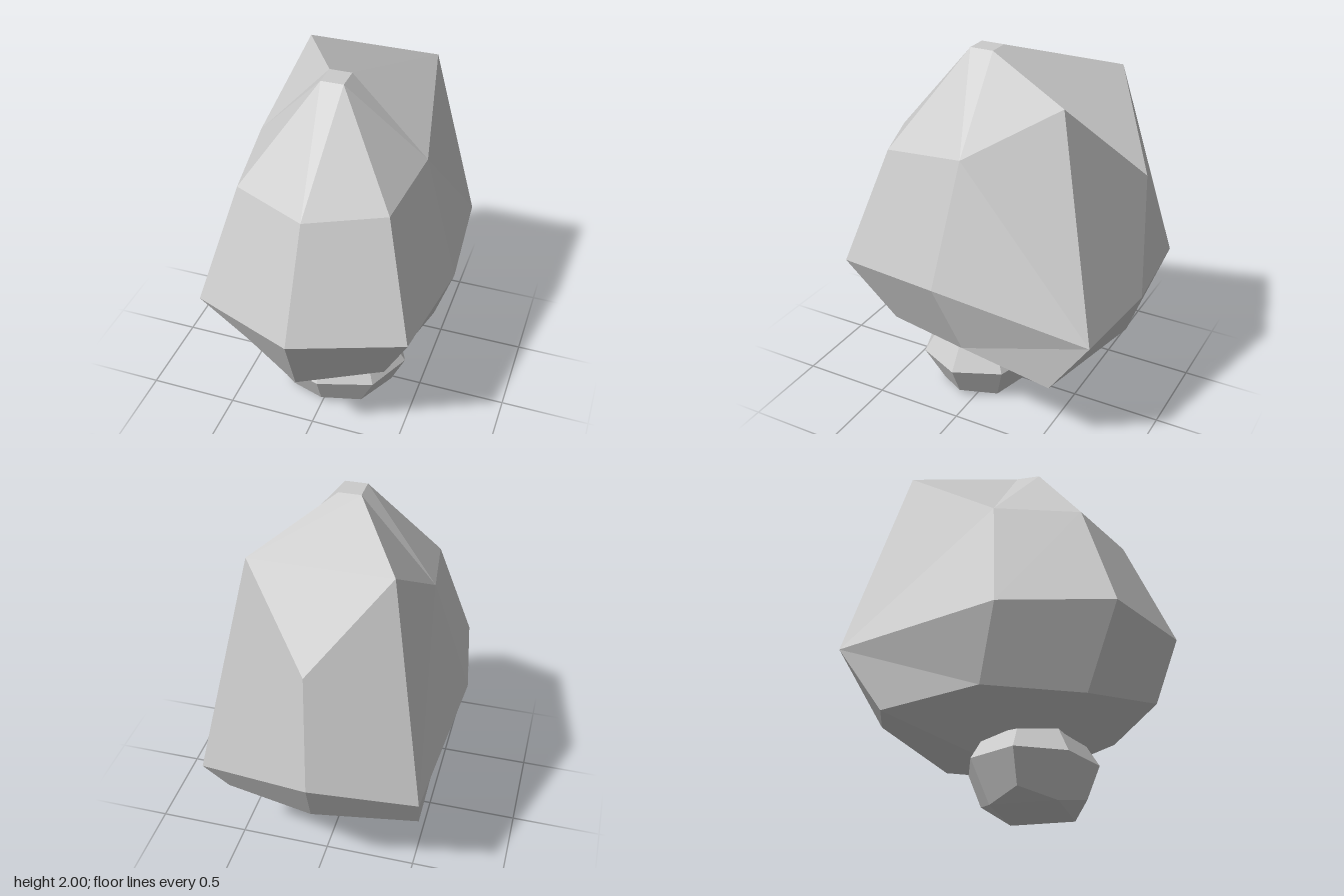
import * as THREE from 'three';

const flip = ([x, y, z]) => [-x, y, z];
const mirrored = (face) => face.map(flip).reverse();

// Full eight-point ring from its half: front, front side, side, back side, back
const ring = (half) => [...half, ...half.slice(1, 4).reverse().map(flip)];

// One mesh from polygons, each fanned from its first corner and shaded with one flat normal
function facetMesh(name, faces) {
  const position = [], normal = [];
  for (const face of faces) {
    const p = face.map((c) => new THREE.Vector3(...c));
    const n = new THREE.Vector3();
    p.forEach((a, i) => n.add(a.clone().cross(p[(i + 1) % p.length])));
    n.normalize();
    for (let i = 1; i < p.length - 1; i++) {
      for (const v of [p[0], p[i], p[i + 1]]) {
        position.push(v.x, v.y, v.z);
        normal.push(n.x, n.y, n.z);
      }
    }
  }
  const geometry = new THREE.BufferGeometry();
  geometry.setAttribute('position', new THREE.Float32BufferAttribute(position, 3));
  geometry.setAttribute('normal', new THREE.Float32BufferAttribute(normal, 3));
  const mesh = new THREE.Mesh(geometry, new THREE.MeshStandardMaterial({ color: 0xcccccc }));
  mesh.name = name;
  return mesh;
}

// Quad i between two rings
const quad = (low, high, i) => {
  const j = (i + 1) % 8;
  return [low[i], low[j], high[j], high[i]];
};

function createBody() {
  const bottom = ring([[0, 0.335, 0.36], [0.2, 0.335, 0.28], [0.28, 0.32, 0.03], [0.2, 0.27, -0.18], [0, 0.27, -0.18]]);
  const lower = ring([[0, 0.535, 0.73], [0.4, 0.47, 0.44], [0.54, 0.51, -0.07], [0.535, 0.425, -0.58], [0, 0.54, -0.785]]);
  const waist = ring([[0, 0.885, 0.855], [0.57, 0.875, 0.63], [0.66, 0.9, 0.035], [0.57, 0.765, -0.81], [0, 0.765, -0.86]]);
  const upper = ring([[0, 1.475, 0.595], [0.4, 1.5, 0.435], [0.46, 1.56, -0.03], [0.36, 1.89, -0.54], [0, 1.47, -0.84]]);
  const tipFront = [0.06, 2, 0.13], tipBack = [0.06, 2, 0];

  // Left half, front to back
  const half = [
    quad(bottom, lower, 0), quad(bottom, lower, 1), quad(bottom, lower, 2),
    quad(lower, waist, 0), quad(lower, waist, 1), quad(lower, waist, 3),
    [lower[2], lower[3], waist[3]], [lower[2], waist[3], waist[2]],
    quad(waist, upper, 0), quad(waist, upper, 1), quad(waist, upper, 3),
    [waist[2], waist[3], upper[2]], [waist[3], upper[3], upper[2]],
    [upper[0], upper[1], tipFront],
    [upper[1], upper[2], tipFront],
    [upper[2], tipBack, tipFront],
    [upper[2], upper[3], tipBack],
  ];
  // Faces that cross the middle
  const middle = [
    [upper[0], tipFront, flip(tipFront)],
    [tipFront, tipBack, flip(tipBack), flip(tipFront)],
    [upper[3], upper[4], upper[5], flip(tipBack), tipBack],
    [lower[3], bottom[3], bottom[5], lower[5], lower[4]],
    [0, 1, 2, 3, 5, 6, 7].map((i) => bottom[i]).reverse(),
  ];
  return facetMesh('body', [...half, ...half.map(mirrored), ...middle]);
}

function createFoot() {
  // Octagon with its own radius and height for straight and diagonal corners
  const octagon = (rx, rz, y, dx, dz, dy) => ring([
    [0, y, 0.07 + rz], [dx, dy, 0.07 + dz], [rx, y, 0.07], [dx, dy, 0.07 - dz], [0, y, 0.07 - rz],
  ]);
  const base = octagon(0.34, 0.28, 0.05, 0.21, 0.175, 0);
  const belly = octagon(0.42, 0.35, 0.225, 0.3, 0.25, 0.22);
  const rim = octagon(0.34, 0.28, 0.34, 0.25, 0.19, 0.355);
  const faces = [];
  for (let i = 0; i < 8; i++) faces.push(quad(base, belly, i), quad(belly, rim, i));
  // Square sole with a bevel triangle on each side
  for (let i = 0; i < 8; i += 2) faces.push([base[(i + 1) % 8], base[i], base[(i + 7) % 8]]);
  faces.push([base[7], base[5], base[3], base[1]], rim);
  return facetMesh('foot', faces);
}

export function createModel() {
  const model = new THREE.Group();
  model.name = 'facetedBulb';
  model.add(createBody(), createFoot());
  return model;
}
